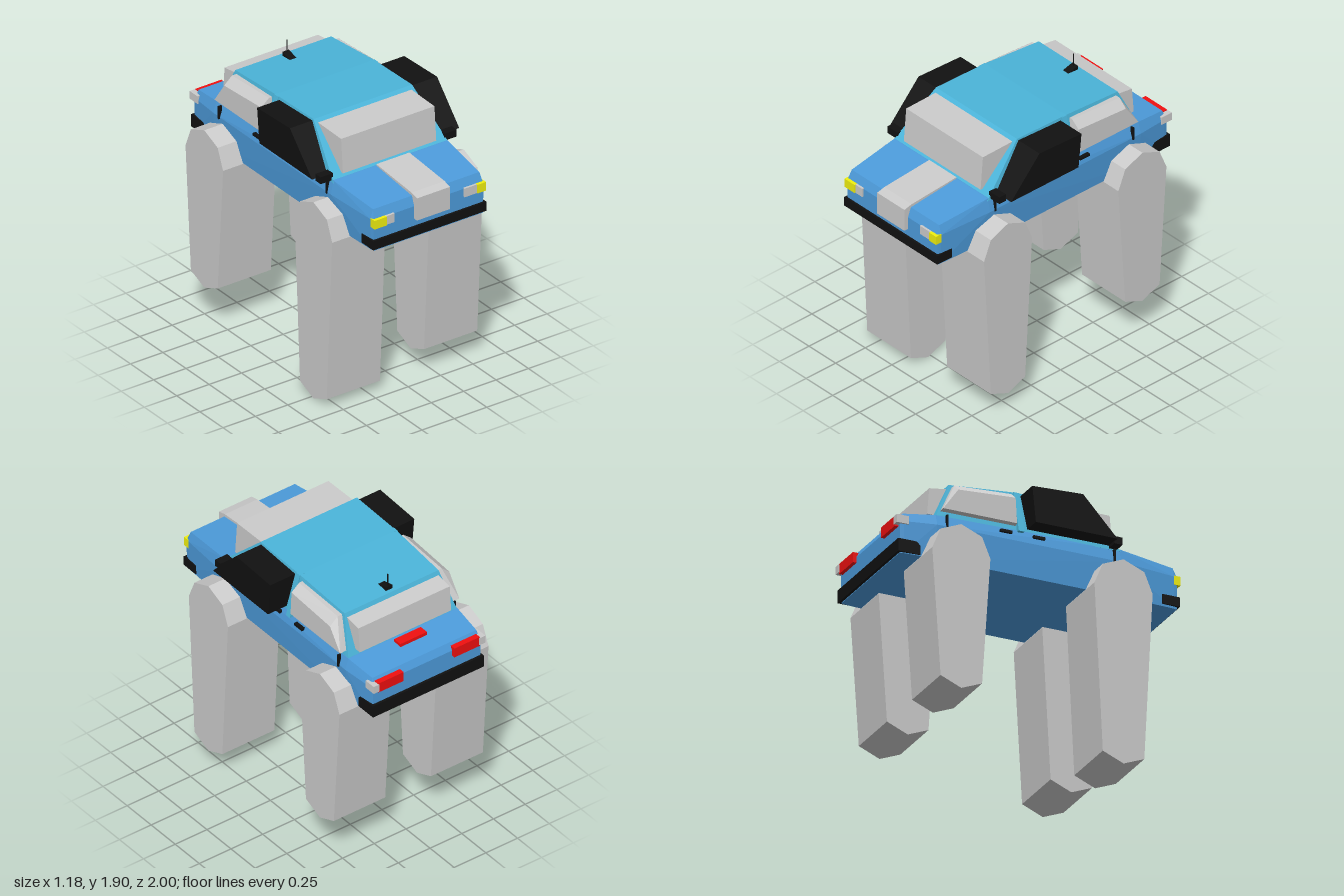
import * as THREE from 'three';
import { ConvexGeometry } from 'three/addons/geometries/ConvexGeometry.js';

const mat = (color) => new THREE.MeshStandardMaterial({ color, flatShading: true });
const grey = mat(0xcccccc), blue = mat(0x4d9cdc), cyan = mat(0x4bb5da);
const black = mat(0x111111), red = mat(0xf01010), yellow = mat(0xf0f010);

export function createModel() {
  const model = new THREE.Group();

  const add = (name, geometry, material) => {
    const mesh = new THREE.Mesh(geometry, material);
    mesh.name = name;
    model.add(mesh);
    return mesh;
  };
  // Faceted solid around a set of [x, y, z] points
  const hull = (name, points, material) =>
    add(name, new ConvexGeometry(points.map((p) => new THREE.Vector3(...p))), material);
  // Box from its minimum and maximum corners
  const box = (name, x0, x1, y0, y1, z0, z1, material) => {
    const mesh = add(name, new THREE.BoxGeometry(x1 - x0, y1 - y0, z1 - z0), material);
    mesh.position.set((x0 + x1) / 2, (y0 + y1) / 2, (z0 + z1) / 2);
    return mesh;
  };
  // Side profile of [z, y] points swept from x0 to x1
  const prism = (name, profile, x0, x1, material) =>
    hull(name, profile.flatMap(([z, y]) => [[x0, y, z], [x1, y, z]]), material);
  // Mirrored pair of [halfWidth, y, z] points
  const both = (points) => points.flatMap(([x, y, z]) => [[x, y, z], [-x, y, z]]);

  // Lower body: [z, bottom y, half width, crease y, half width, top y, half width]
  const sections = [
    [0.97, 1.22, 0.42, 1.42, 0.425, 1.44, 0.42],
    [0.945, 1.22, 0.425, 1.44, 0.43, 1.505, 0.41],
    [0.56, 1.22, 0.44, 1.45, 0.46, 1.545, 0.44],
    [-0.72, 1.22, 0.44, 1.45, 0.455, 1.527, 0.43],
    [-0.94, 1.22, 0.425, 1.44, 0.43, 1.5, 0.41],
    [-0.965, 1.22, 0.42, 1.42, 0.425, 1.45, 0.41],
  ];
  hull('body', sections.flatMap(([z, yb, wb, ym, wm, yt, wt]) =>
    both([[wb, yb, z], [wm, ym, z], [wt, yt, z]])), blue);

  // Cabin with sloping windscreen and tail
  hull('cabin', both([
    [0.445, 1.53, 0.57], [0.38, 1.83, 0.26], [0.38, 1.82, -0.15],
    [0.37, 1.785, -0.6], [0.43, 1.515, -0.72],
  ]), cyan);

  // Padded windscreen, rear window and bonnet panel
  prism('windscreenPad', [[0.55, 1.565], [0.53, 1.805], [0.26, 1.81], [0.45, 1.565]], -0.36, 0.36, grey);
  prism('rearWindowPad', [[-0.59, 1.76], [-0.73, 1.74], [-0.745, 1.56], [-0.66, 1.56]], -0.36, 0.36, grey);
  prism('bonnetPanel', [[0.95, 1.35], [1.0, 1.35], [1.0, 1.51], [0.94, 1.525], [0.56, 1.555], [0.56, 1.5]],
    -0.11, 0.145, grey);

  // Legs: tall tapered slabs with pointed ends, [name, x0, x1, z, lowest y]
  [
    ['frontLeftLeg', 0.18, 0.59, 0.525, 0.115],
    ['frontRightLeg', -0.57, -0.16, 0.525, 0],
    ['backLeftLeg', 0.175, 0.58, -0.62, 0.28],
    ['backRightLeg', -0.595, -0.185, -0.62, 0.28],
  ].forEach(([name, x0, x1, z, y]) => prism(name, [
    [z, 1.415], [z + 0.145, 1.355], [z + 0.203, 1.215], [z + 0.145, y + 0.06],
    [z, y], [z - 0.145, y + 0.06], [z - 0.203, 1.215], [z - 0.145, 1.355],
  ], x0, x1, grey));

  // Bumpers
  box('frontBumper', -0.437, 0.437, 1.235, 1.3, 0.86, 0.985, black);
  box('rearBumper', -0.437, 0.437, 1.225, 1.313, -0.983, -0.83, black);

  for (const s of [-1, 1]) {
    const side = s > 0 ? 'left' : 'right';
    const sideBox = (name, x0, x1, ...rest) =>
      box(side + name, Math.min(s * x0, s * x1), Math.max(s * x0, s * x1), ...rest);

    // Front door window block
    prism(side + 'FrontWindowBlock', [[0.25, 1.817], [-0.105, 1.802], [-0.08, 1.557], [0.49, 1.557]],
      s * 0.37, s > 0 ? 0.58 : -0.555, black);

    // Rear door window pad, narrower on its outer face
    const outline = [[-0.18, 1.79], [-0.58, 1.768], [-0.68, 1.565], [-0.15, 1.565]];
    const outer = [[-0.18, 1.74], [-0.58, 1.715], [-0.685, 1.565], [-0.17, 1.565]];
    hull(side + 'RearWindowPad', [
      ...outline.map(([z, y]) => [s * 0.36, y, z]),
      ...outline.slice(0, 2).map(([z, y]) => [s * 0.41, y, z]),
      ...outer.map(([z, y]) => [s * 0.47, y, z]),
    ], grey);

    // Pillar between the doors
    hull(side + 'DoorPillar', [[-0.115, 1.82], [-0.155, 1.82], [-0.115, 1.52], [-0.155, 1.52]]
      .flatMap(([z, y]) => [0.34, y > 1.6 ? 0.385 : 0.465].map((x) => [s * x, y, z])), cyan);

    // Mirror, door handles and vertical trim rods
    sideBox('Mirror', 0.43, 0.525, 1.537, 1.587, 0.485, 0.54, black);
    sideBox('FrontHandle', 0.44, 0.465, 1.492, 1.51, -0.05, 0.03, black);
    sideBox('RearHandle', 0.44, 0.465, 1.492, 1.51, -0.28, -0.2, black);
    sideBox('FrontRod', 0.44, 0.465, 1.44, 1.53, 0.51, 0.522, black);
    sideBox('RearRod', 0.44, 0.465, 1.44, 1.53, -0.657, -0.645, black);

    // Headlights and tail lights with corner lamps
    const split = s > 0 ? 0.365 : 0.335;
    sideBox('Headlight', 0.27, split, 1.385, 1.447, 0.93, 0.983, grey);
    sideBox('Indicator', split, 0.43, 1.385, 1.447, 0.945, 0.99, yellow);
    sideBox('TailLight', 0.2, 0.4, 1.41, 1.48, -0.99, -0.93, red);
    sideBox('TailCorner', 0.395, 0.44, 1.42, 1.475, -0.995, -0.91, grey);
  }

  // Boot-lid brake light
  box('brakeLight', -0.12, 0.09, 1.5, 1.54, -0.81, -0.745, red);

  // Roof aerial
  prism('aerialBase', [[-0.48, 1.79], [-0.575, 1.815], [-0.575, 1.78]], -0.025, 0.025, black);
  const rod = add('aerial', new THREE.CylinderGeometry(0.004, 0.004, 0.1, 6), black);
  rod.position.set(0, 1.85, -0.56);

  return model;
}
